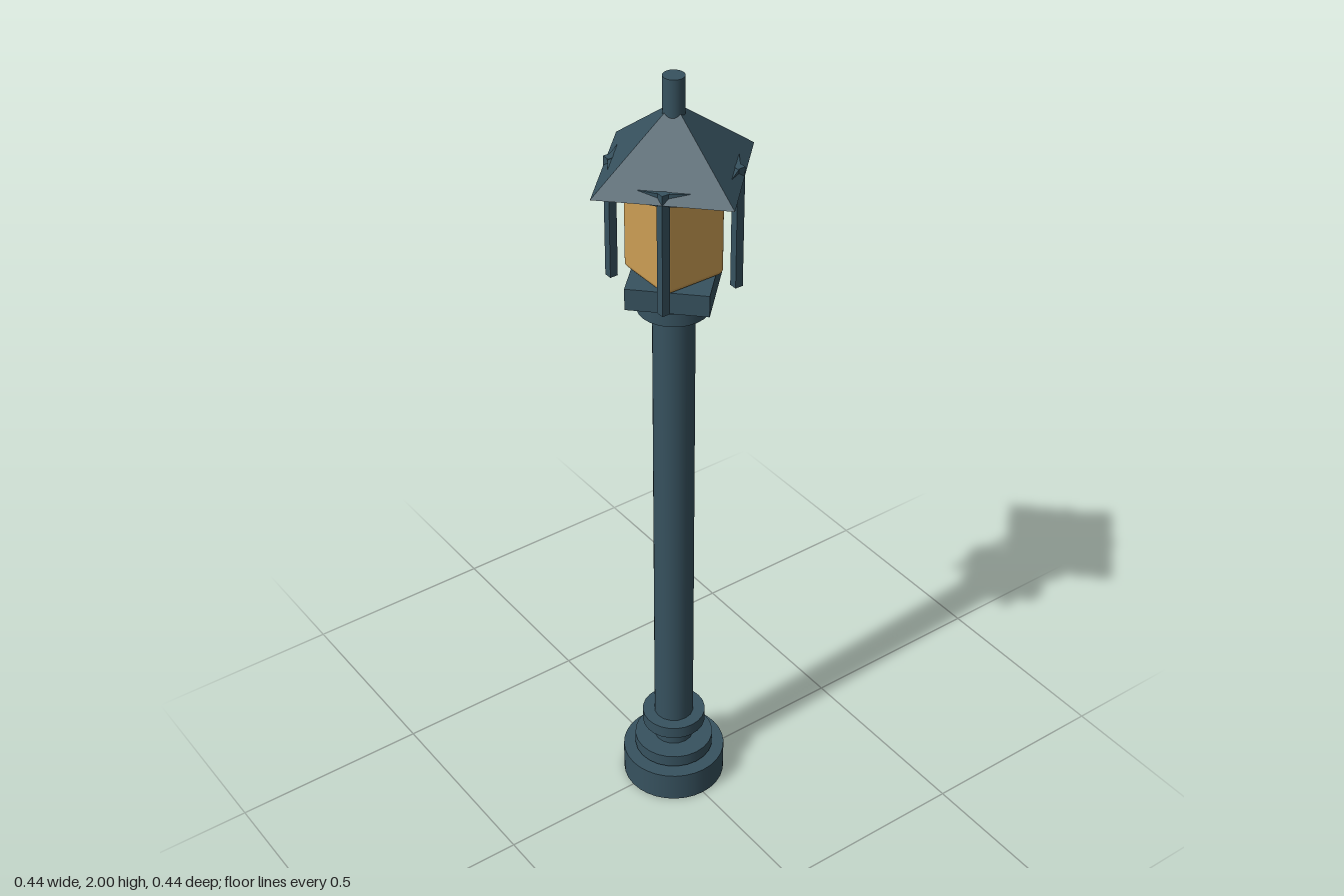
import * as THREE from 'three';
import { RoundedBoxGeometry } from 'three/addons/geometries/RoundedBoxGeometry.js';

export function createModel() {
  const lamp = new THREE.Group();
  lamp.name = 'streetLamp';

  const metal = new THREE.MeshStandardMaterial({ color: 0x37525f });
  metal.name = 'slate blue metal';
  const amber = new THREE.MeshStandardMaterial({ color: 0xcc9e54 });
  amber.name = 'amber glass';

  const add = (name, geometry, material, x, y, z) => {
    const mesh = new THREE.Mesh(geometry, material);
    mesh.name = name;
    mesh.position.set(x, y, z);
    lamp.add(mesh);
    return mesh;
  };
  // Upright cylinder between two heights
  const disc = (name, radius, y0, y1, sides = 24) =>
    add(name, new THREE.CylinderGeometry(radius, radius, y1 - y0, sides), metal, 0, (y0 + y1) / 2, 0);
  // Four-sided solids get hard edges
  const faceted = (geometry) => {
    const flat = geometry.toNonIndexed();
    flat.computeVertexNormals();
    return flat;
  };

  // Foot, column and collars
  disc('foot', 0.13, 0, 0.08, 32);
  disc('column', 0.05, 0.07, 1.47, 16);
  disc('lowerCollar', 0.1, 0.087, 0.12);
  disc('middleCollar', 0.08, 0.167, 0.2);
  disc('upperCollar', 0.085, 1.424, 1.457);

  // Diamond tray under the lantern
  add('lanternTray', faceted(new THREE.CylinderGeometry(0.135, 0.135, 0.054, 4)), metal, 0, 1.493, 0);

  // Glowing lantern body
  add('lanternGlass', new RoundedBoxGeometry(0.165, 0.26, 0.165, 3, 0.015), amber, 0, 1.65, 0);

  // Corner posts
  const postGeometry = new THREE.BoxGeometry(0.02, 0.3, 0.02);
  for (const x of [-0.1, 0.1]) {
    for (const z of [-0.1, 0.1]) add('cornerPost', postGeometry, metal, x, 1.645, z);
  }

  // Cap ring, pyramid roof and finial
  disc('capRing', 0.146, 1.763, 1.794, 16);
  add('roof', faceted(new THREE.ConeGeometry(0.219, 0.165, 4)), metal, 0, 1.8545, 0);
  disc('finial', 0.025, 1.88, 2);

  return lamp;
}
